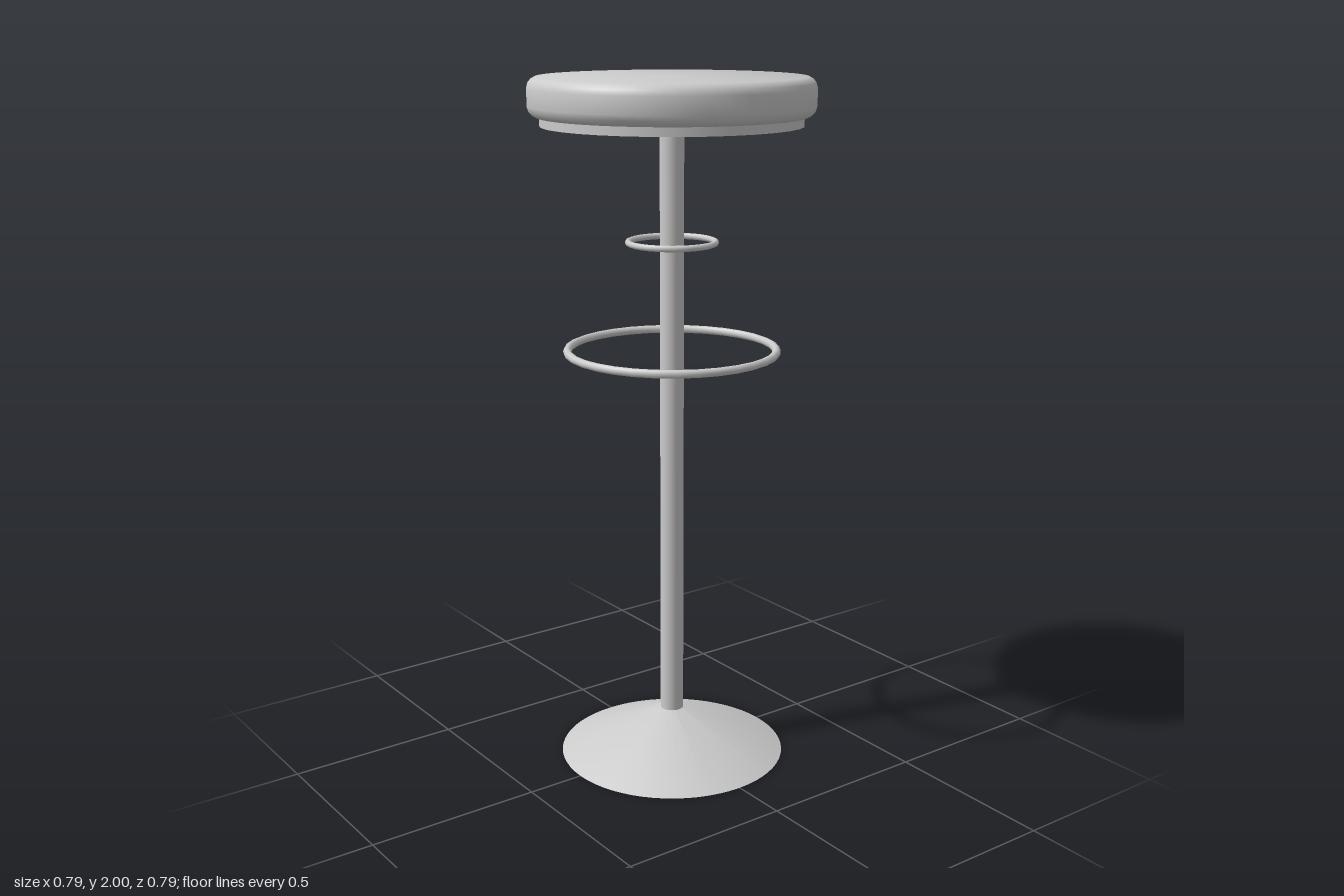
import * as THREE from 'three';
import { toCreasedNormals } from 'three/addons/utils/BufferGeometryUtils.js';

export function createModel() {
  const model = new THREE.Group();
  model.name = 'barStool';
  const material = new THREE.MeshStandardMaterial({ color: 0xcccccc });

  const add = (name, geometry, y = 0) => {
    const mesh = new THREE.Mesh(geometry, material);
    mesh.name = name;
    mesh.position.y = y;
    model.add(mesh);
  };
  // Solid of revolution from [radius, height] pairs, listed bottom to top
  const turned = (points, sides) => toCreasedNormals(
    new THREE.LatheGeometry(points.map(([r, y]) => new THREE.Vector2(r, y)), sides), 0.6);
  const ring = (radius, tube, sides) =>
    new THREE.TorusGeometry(radius, tube, 8, sides).rotateX(Math.PI / 2);

  // Conical foot with a closed underside
  add('base', turned([[0, 0], [0.333, 0], [0.034, 0.133], [0, 0.133]], 64));

  // Central column
  add('column', new THREE.CylinderGeometry(0.034, 0.034, 1.76, 32), 1.0);

  // Footrest and the smaller ring above it
  add('footrestRing', ring(0.298, 0.012, 32), 1.236);
  add('upperRing', ring(0.123, 0.009, 32), 1.545);

  // Plate under the seat
  add('seatPlate', new THREE.CylinderGeometry(0.364, 0.364, 0.03, 32), 1.882);

  // Cushion with rounded rims and a flat top
  add('seatCushion', turned([
    [0, 1.892], [0.372, 1.892], [0.384, 1.898], [0.393, 1.908], [0.397, 1.922],
    [0.397, 1.97], [0.393, 1.984], [0.385, 1.994], [0.374, 2], [0, 2],
  ], 64));

  return model;
}
